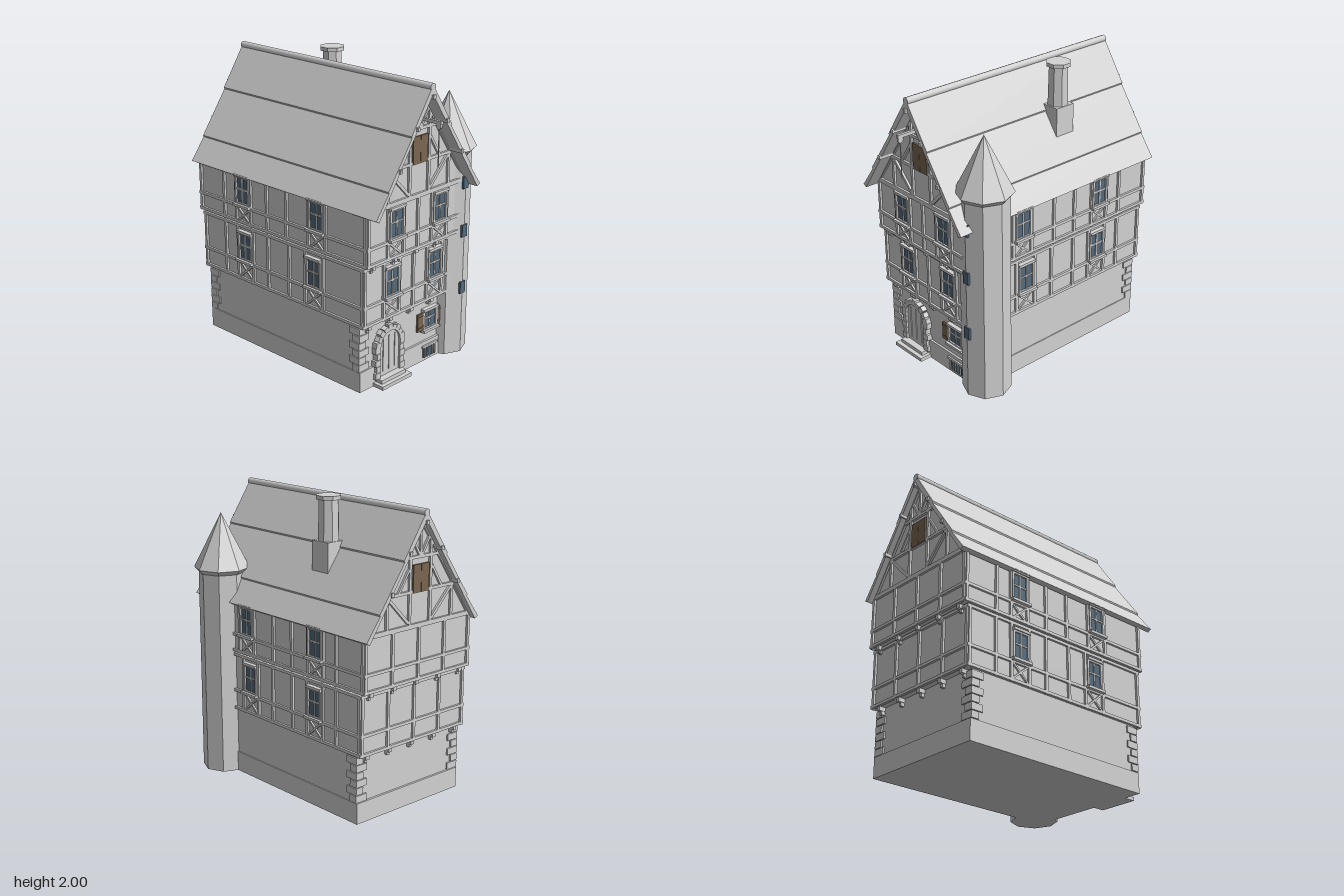
import * as THREE from 'three';

const mat = (name, color) => {
  const m = new THREE.MeshStandardMaterial({ color });
  m.name = name;
  return m;
};

export function createModel() {
  const stone = mat('pale stone', 0xd2d2d2);
  const glass = mat('blue glass', 0x536a7c);
  const wood = mat('brown wood', 0x7a6650);
  const CX = -0.07, CZ = -0.06; // centre of the house body
  const house = new THREE.Group();
  house.name = 'house';

  const mesh = (parent, name, geo, m, x = 0, y = 0, z = 0) => {
    const o = new THREE.Mesh(geo, m);
    o.name = name;
    o.position.set(x, y, z);
    parent.add(o);
    return o;
  };
  const box = (parent, name, w, h, d, x, y, z, m = stone) =>
    mesh(parent, name, new THREE.BoxGeometry(w, h, d), m, x, y, z);
  // straight timber between two points of a wall, standing proud of it
  const beam = (f, x1, y1, x2, y2, w = 0.02, d = 0.024) => {
    const b = box(f, 'timber', Math.hypot(x2 - x1, y2 - y1), w, d, (x1 + x2) / 2, (y1 + y2) / 2, 0.003);
    b.rotation.z = Math.atan2(y2 - y1, x2 - x1);
    return b;
  };
  // wall-local frame: x along the wall, y up, z outwards
  const facade = (name, angle, halfW, halfD) => {
    const f = new THREE.Group();
    f.name = name;
    f.rotation.y = angle;
    const side = Math.abs(Math.sin(angle)) > 0.5;
    const out = side ? halfW : halfD;
    f.position.set(CX + Math.sin(angle) * out, 0, CZ + Math.cos(angle) * out);
    house.add(f);
    return f;
  };
  const windowAt = (parent, x, y, w, h, sill = true) => {
    const g = new THREE.Group();
    g.name = 'window';
    g.position.set(x, y, 0);
    parent.add(g);
    box(g, 'pane', w, h, 0.008, 0, 0, 0.006, glass);
    for (const s of [-1, 1]) {
      box(g, 'frameSide', 0.016, h + 0.03, 0.036, s * (w / 2 + 0.006), 0, 0.004);
      box(g, 'frameRail', w + 0.03, 0.016, 0.036, 0, s * (h / 2 + 0.006), 0.004);
    }
    box(g, 'mullion', 0.011, h, 0.012, 0, 0, 0.01);
    box(g, 'glazingBar', w, 0.011, 0.012, 0, 0.01, 0.01);
    if (sill) box(g, 'sill', w + 0.045, 0.018, 0.06, 0, -h / 2 - 0.014, 0.01);
    if (sill) box(g, 'header', w + 0.03, 0.018, 0.05, 0, h / 2 + 0.018, 0.006);
  };

  // wall blocks of the three storeys
  box(house, 'plinth', 0.92, 0.14, 1.44, CX, 0.07, CZ);
  box(house, 'groundFloor', 0.908, 0.34, 1.41, CX, 0.3, CZ);
  const floors = [
    { y0: 0.457, rail: 0.595, y1: 0.862, hw: 0.458, hz: 0.745, wins: [-0.32, 0.33], posts: [-0.4, -0.24, -0.09, 0.11, 0.255, 0.405, 0.53] },
    { y0: 0.872, rail: 0.995, y1: 1.24, hw: 0.462, hz: 0.775, wins: [-0.35, 0.34], posts: [-0.43, -0.275, -0.075, 0.11, 0.27, 0.41, 0.53] },
  ];
  floors.forEach((fl, i) => {
    box(house, 'upperFloor', fl.hw * 2, fl.y1 - fl.y0, fl.hz * 2, CX, (fl.y0 + fl.y1) / 2, CZ);
    for (const [k, angle] of [0, Math.PI / 2, Math.PI, -Math.PI / 2].entries()) {
      const f = facade(['front', 'right', 'back', 'left'][k] + 'Timbering', angle, fl.hw, fl.hz);
      const side = k % 2 === 1;
      const half = side ? fl.hz : fl.hw;
      const mirror = k === 3 ? -1 : 1;
      const wins = side ? fl.wins.map(u => u * mirror) : k === 0 ? [-0.207, 0.207] : [];
      const posts = side ? fl.posts.map(u => u * mirror)
        : k === 0 ? [-0.28, -0.134, 0, 0.134, 0.28] : [-0.23, 0, 0.23];
      for (const y of [fl.y0 + 0.012, fl.rail, fl.y1 - 0.01]) beam(f, -half - 0.012, y, half + 0.012, y);
      for (const u of [-half + 0.005, half - 0.005, ...posts]) beam(f, u, fl.y0, u, fl.y1);
      for (const u of wins) {
        const h = 0.175;
        windowAt(f, u, fl.rail + 0.112, 0.11, h);
        for (const s of [-1, 1]) beam(f, u - 0.065, fl.rail - s * 0.055 - 0.06, u + 0.065, fl.rail + s * 0.055 - 0.06, 0.013, 0.018);
      }
      // brackets carrying the overhang at both gable ends
      if (!side) for (let n = -2; n <= 2; n++) {
        box(f, 'bracket', 0.028, 0.03, 0.05, n * 0.2, fl.y0 - 0.012, -0.02);
        box(f, 'bracketFoot', 0.02, 0.03, 0.03, n * 0.2, fl.y0 - 0.035, -0.03);
      }
    }
  });

  // alternating corner stones
  for (const sx of [-1, 1]) for (const sz of [-1, 1]) for (let i = 0; i < 6; i++) {
    const long = i % 2 === 0;
    const w = long ? 0.09 : 0.06, d = long ? 0.06 : 0.09;
    box(house, 'cornerStone', w, 0.046, d, CX + sx * (0.464 - w / 2), 0.167 + i * 0.051, CZ + sz * (0.717 - d / 2));
  }

  // ground floor front: arched door, window with shutters, cellar window
  const ground = facade('groundFront', 0, 0.454, 0.705);
  const door = new THREE.Group();
  door.name = 'door';
  door.position.x = -0.195;
  ground.add(door);
  const leaf = new THREE.Shape();
  leaf.moveTo(-0.095, 0.03).lineTo(0.095, 0.03).lineTo(0.095, 0.26);
  leaf.absarc(0, 0.26, 0.095, 0, Math.PI, false);
  mesh(door, 'doorLeaf', new THREE.ExtrudeGeometry(leaf, { depth: 0.012, bevelEnabled: false, curveSegments: 8 }), stone, 0, 0, 0.01);
  for (const x of [-0.055, 0, 0.055]) box(door, 'doorPlank', 0.008, 0.24, 0.008, x, 0.2, 0.023);
  box(door, 'step', 0.28, 0.025, 0.1, 0, 0.0125, 0.05);
  box(door, 'upperStep', 0.23, 0.025, 0.07, 0, 0.0375, 0.035);
  for (const s of [-1, 1]) for (let i = 0; i < 5; i++)
    box(door, 'jambStone', i % 2 ? 0.034 : 0.046, 0.042, 0.045, s * (i % 2 ? 0.11 : 0.116), 0.07 + i * 0.045, 0.015);
  for (let i = 0; i < 9; i++) {
    const a = (Math.PI * (i + 0.5)) / 9;
    const r = i % 2 ? 0.108 : 0.113;
    const v = box(door, 'archStone', i % 2 ? 0.034 : 0.044, 0.036, 0.045, r * Math.cos(a), 0.265 + r * Math.sin(a), 0.015);
    v.rotation.z = a;
  }
  windowAt(ground, 0.218, 0.295, 0.115, 0.115);
  for (const s of [-1, 1]) {
    box(ground, 'shutter', 0.055, 0.125, 0.014, 0.218 + s * 0.1, 0.295, 0.014, wood);
    for (const e of [-1, 1]) box(ground, 'shutterBatten', 0.05, 0.01, 0.02, 0.218 + s * 0.1, 0.295 + e * 0.04, 0.014, wood);
  }
  box(ground, 'cellarPane', 0.13, 0.075, 0.006, 0.218, 0.06, 0.017, glass);
  box(ground, 'cellarLintel', 0.15, 0.016, 0.03, 0.218, 0.105, 0.012);
  for (let i = 0; i < 5; i++) box(ground, 'cellarBar', 0.009, 0.075, 0.012, 0.168 + i * 0.025, 0.06, 0.02);

  // gable prism
  const gable = new THREE.Shape();
  gable.moveTo(-0.462, 1.23).lineTo(0.462, 1.23).lineTo(0, 1.915);
  mesh(house, 'gableWall', new THREE.ExtrudeGeometry(gable, { depth: 1.55, bevelEnabled: false }), stone, CX, 0, CZ - 0.775);
  for (const [name, angle] of [['frontGable', 0], ['backGable', Math.PI]]) {
    const f = facade(name, angle, 0.462, 0.775);
    beam(f, -0.46, 1.24, 0.46, 1.24);
    beam(f, -0.31, 1.455, 0.31, 1.455);
    beam(f, -0.16, 1.67, 0.16, 1.67);
    beam(f, 0, 1.67, 0, 1.9, 0.018);
    for (const s of [-1, 1]) {
      beam(f, s * 0.09, 1.24, s * 0.09, 1.76);
      beam(f, s * 0.285, 1.24, s * 0.285, 1.46);
      beam(f, s * 0.275, 1.44, s * 0.1, 1.26);
      beam(f, s * 0.19, 1.46, s * 0.1, 1.6, 0.016);
      beam(f, s * 0.01, 1.68, s * 0.075, 1.79, 0.016);
      beam(f, s * 0.45, 1.24, 0, 1.9, 0.02);
      box(f, 'loftDoor', 0.068, 0.175, 0.012, s * 0.035, 1.537, 0.012, wood);
    }
  }

  // purlin ends under both roof verges
  for (const [x, y] of [[0.29, 1.48], [0.138, 1.71], [0, 1.885]]) for (const s of x ? [-1, 1] : [1])
    box(house, 'purlin', 0.022, 0.026, 1.735, CX + s * x, y, -0.033);

  // roof with three overlapping courses on each slope
  const slope = [[0, 1.96], [0.19, 1.675], [0.186, 1.664], [0.39, 1.374], [0.386, 1.363], [0.497, 1.215], [0.47, 1.2]];
  const roof = new THREE.Shape();
  roof.moveTo(0, 1.9);
  for (const [x, y] of slope.slice().reverse()) roof.lineTo(x, y);
  for (const [x, y] of slope.slice(1)) roof.lineTo(-x, y);
  mesh(house, 'roof', new THREE.ExtrudeGeometry(roof, { depth: 1.71, bevelEnabled: false }), stone, CX, 0, -0.89);
  mesh(house, 'ridgeCap', new THREE.CylinderGeometry(0.024, 0.024, 1.712, 10).rotateX(Math.PI / 2), stone, CX, 1.946, -0.035);

  // hoist beam with pulley and rope
  box(house, 'hoistBeam', 0.02, 0.022, 0.19, CX, 1.735, 0.8);
  mesh(house, 'pulley', new THREE.CylinderGeometry(0.02, 0.02, 0.014, 10).rotateZ(Math.PI / 2), stone, CX, 1.71, 0.873);
  mesh(house, 'rope', new THREE.CylinderGeometry(0.004, 0.004, 0.26, 6), stone, CX, 1.58, 0.873);

  // chimney
  box(house, 'chimneyBase', 0.13, 0.26, 0.15, 0.157, 1.58, -0.243);
  const prism = (name, rt, rb, h, x, y, z, turn) =>
    mesh(house, name, new THREE.CylinderGeometry(rt, rb, h, 8).rotateY(turn).toNonIndexed(), stone, x, y, z).geometry.computeVertexNormals();
  prism('chimneyStack', 0.066, 0.072, 0.28, 0.15, 1.84, -0.245, Math.PI / 8);
  prism('chimneyCap', 0.084, 0.084, 0.026, 0.15, 1.987, -0.245, Math.PI / 8);

  // octagonal stair tower
  const TX = 0.375, TZ = 0.585;
  prism('towerWall', 0.16, 0.162, 1.42, TX, 0.71, TZ, 0);
  prism('towerEave', 0.19, 0.165, 0.03, TX, 1.417, TZ, 0);
  prism('towerRoof', 0, 0.19, 0.373, TX, 1.618, TZ, 0);
  for (const y of [0.475, 0.88, 1.217]) box(house, 'towerWindow', 0.05, 0.085, 0.018, TX, y, TZ + 0.156, glass);

  const root = new THREE.Group();
  root.name = 'timberFramedHouse';
  root.add(house);
  return root;
}
